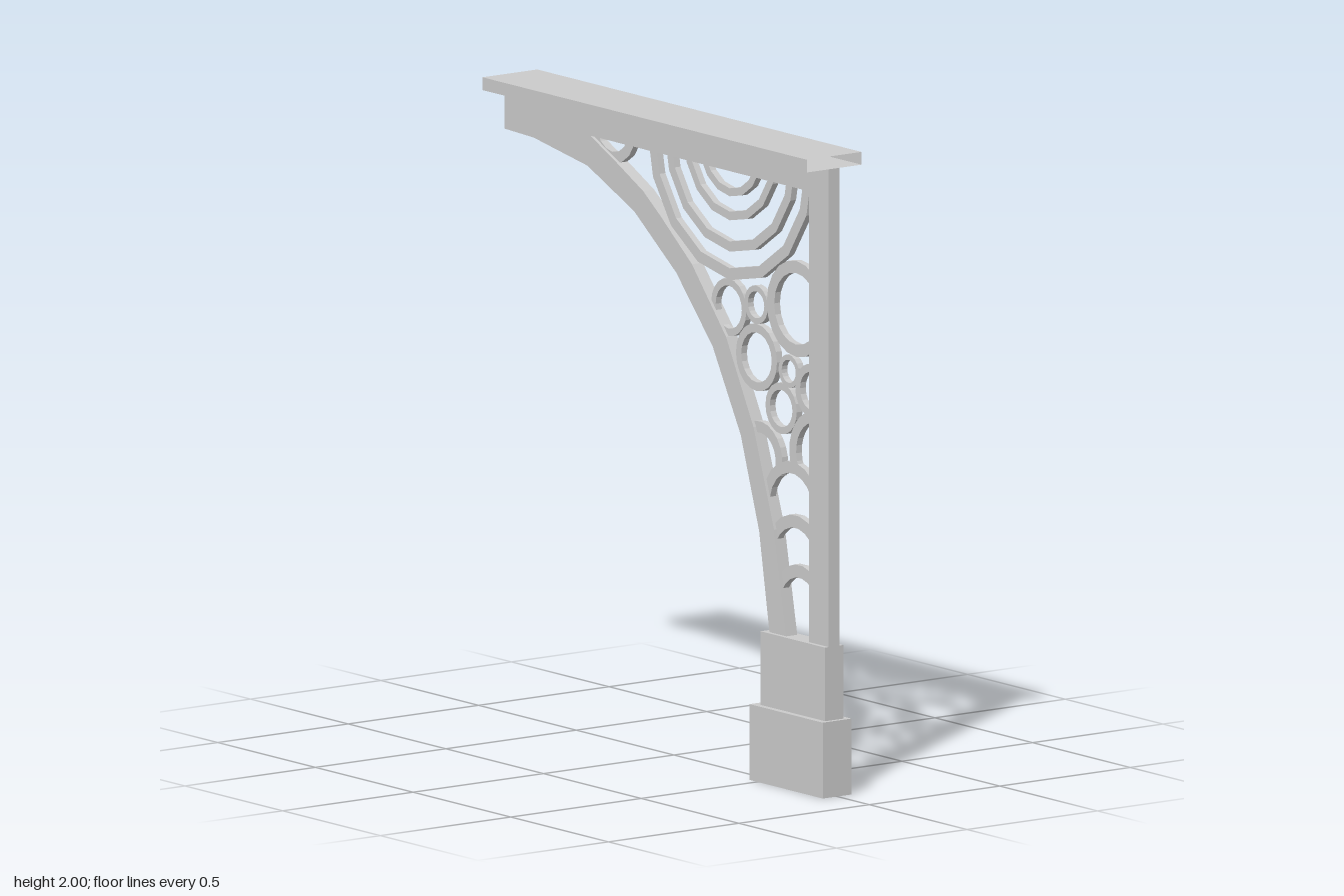
import * as THREE from 'three';

const material = new THREE.MeshStandardMaterial({ color: 0xcccccc, flatShading: true, side: THREE.DoubleSide });

function add(parent, name, geometry, x = 0, y = 0, z = 0) {
  const mesh = new THREE.Mesh(geometry, material);
  mesh.name = name;
  mesh.position.set(x, y, z);
  parent.add(mesh);
  return mesh;
}

// Flat outline given a thickness, centred on z = 0
function slab(shape, depth) {
  return new THREE.ExtrudeGeometry(shape, { depth, bevelEnabled: false }).translate(0, 0, -depth / 2);
}

const points = (list) => list.map(([x, y]) => new THREE.Vector2(x, y));

// Points along a circular arc, angles in degrees
function arc(radius, from, to, segments) {
  return Array.from({ length: segments + 1 }, (_, i) => {
    const a = THREE.MathUtils.degToRad(from + ((to - from) * i) / segments);
    return new THREE.Vector2(Math.cos(a) * radius, Math.sin(a) * radius);
  });
}

function ringBand(outer, inner, from, to, segments, depth) {
  if (to - from === 360) {
    const shape = new THREE.Shape(arc(outer, 0, 360, segments).slice(0, -1));
    shape.holes.push(new THREE.Path(arc(inner, 0, 360, segments).slice(0, -1)));
    return slab(shape, depth);
  }
  return slab(new THREE.Shape([...arc(outer, from, to, segments), ...arc(inner, to, from, segments)]), depth);
}

export function createModel() {
  const model = new THREE.Group();
  model.name = 'archBracket';

  // Stepped plinth
  add(model, 'lowerPlinth', new THREE.BoxGeometry(0.375, 0.237, 0.11), 0.648, 0.1185, 0);
  add(model, 'upperPlinth', new THREE.BoxGeometry(0.33, 0.23, 0.07), 0.655, 0.352, 0);

  // Post, header and curved brace as one pierced frame
  const frame = new THREE.Shape(points([
    [-0.84, 1.96], [-0.84, 1.83], [-0.69, 1.825], [-0.415, 1.78], [-0.176, 1.675], [0.04, 1.516],
    [0.226, 1.315], [0.37, 1.06], [0.464, 0.775], [0.517, 0.465], [0.605, 0.465], [0.72, 0.465],
    [0.82, 0.465], [0.82, 1.96],
  ]));
  frame.holes.push(new THREE.Path(points([
    [-0.4, 1.876], [-0.28, 1.82], [-0.13, 1.745], [-0.04, 1.68], [0.12, 1.555], [0.295, 1.355],
    [0.435, 1.095], [0.54, 0.79], [0.603, 0.467], [0.72, 0.467], [0.72, 1.876],
  ])));
  add(model, 'frame', slab(frame, 0.042));

  // Top board: hollow, open at both ends
  const board = new THREE.Group();
  board.name = 'topBoard';
  model.add(board);
  const length = 1.66, midX = -0.01, half = 0.105;
  for (const [name, y, turn] of [['boardTop', 2, -1], ['boardUnderside', 1.96, 1]]) {
    add(board, name, new THREE.PlaneGeometry(length, half * 2).rotateX((turn * Math.PI) / 2), midX, y, 0);
  }
  for (const side of [1, -1]) {
    const edge = new THREE.PlaneGeometry(length, 0.04).rotateY(side > 0 ? 0 : Math.PI);
    add(board, side > 0 ? 'boardFrontEdge' : 'boardBackEdge', edge, midX, 1.98, side * half);
  }

  // Filigree
  const filigree = new THREE.Group();
  filigree.name = 'filigree';
  model.add(filigree);
  const depth = 0.022;

  // Concentric half rings hanging from the header
  for (const [outer, inner] of [[0.425, 0.388], [0.336, 0.304], [0.238, 0.211], [0.163, 0.138]]) {
    add(filigree, 'hangingHalfRing', ringBand(outer, inner, 180, 360, 8, depth), 0.3, 1.957, 0);
  }
  add(filigree, 'cornerHalfRing', ringBand(0.12, 0.085, 180, 360, 8, depth), -0.3, 1.925, 0);

  // Full circles filling the corner: x, y, outer and inner radius
  for (const [x, y, outer, inner] of [
    [0.64, 1.495, 0.15, 0.112], [0.295, 1.447, 0.09, 0.067], [0.435, 1.476, 0.06, 0.042],
    [0.437, 1.312, 0.105, 0.078], [0.602, 1.294, 0.052, 0.036], [0.563, 1.172, 0.08, 0.058],
    [0.72, 1.25, 0.085, 0.06],
  ]) {
    add(filigree, 'circle', ringBand(outer, inner, 0, 360, 20, depth), x, y, 0);
  }

  // Arcs between the brace and the post: x, y, radii, start and end angle
  for (const [x, y, outer, inner, from, to] of [
    [0.455, 1.0, 0.115, 0.08, -20, 115], [0.745, 1.05, 0.14, 0.105, 90, 210],
    [0.617, 0.865, 0.15, 0.113, 10, 170], [0.635, 0.7, 0.15, 0.11, 10, 172],
    [0.655, 0.56, 0.137, 0.097, 10, 172],
  ]) {
    add(filigree, 'bridgingArc', ringBand(outer, inner, from, to, 9, depth), x, y, 0);
  }

  return model;
}
